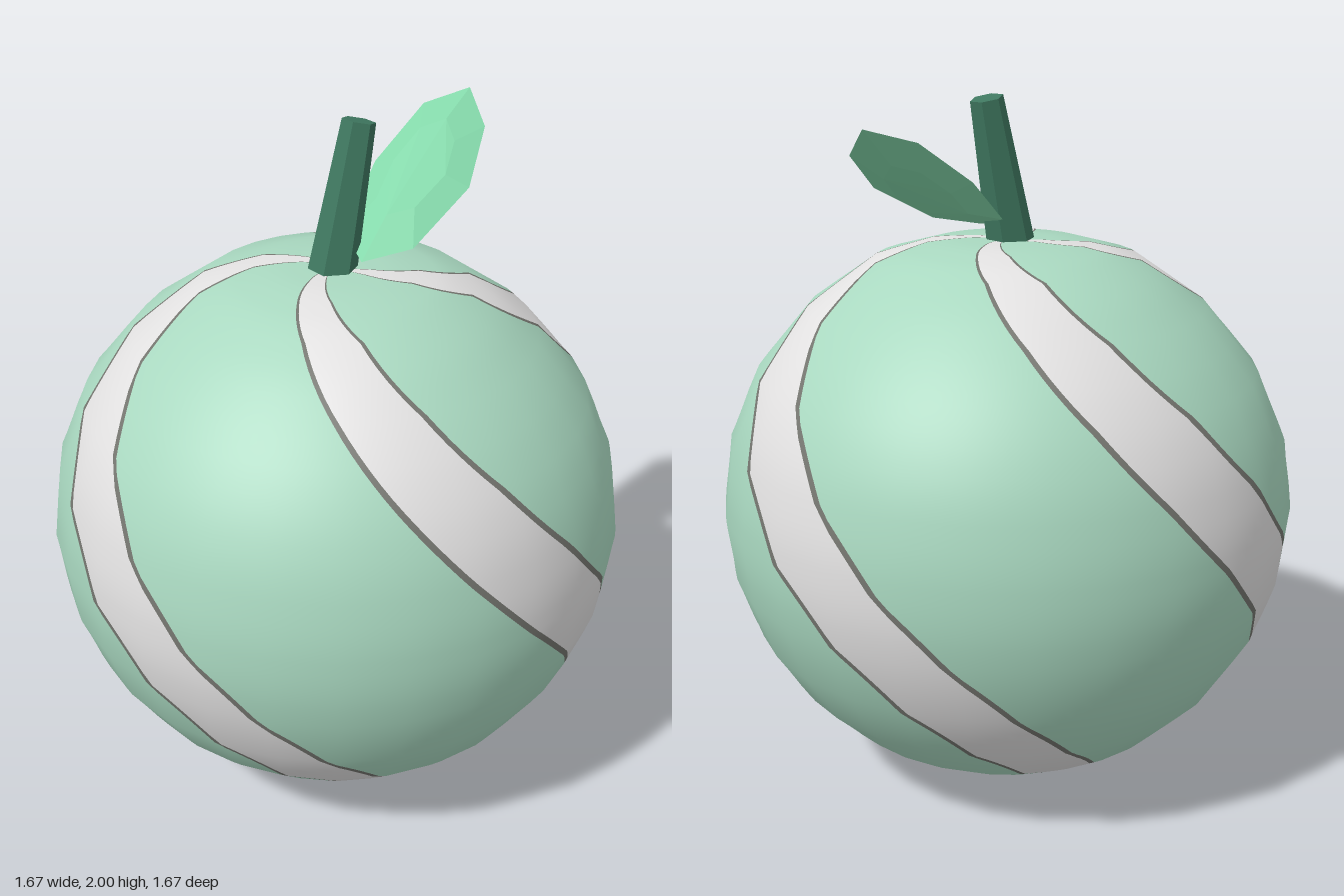
import * as THREE from 'three';
import { ConvexGeometry } from 'three/addons/geometries/ConvexGeometry.js';

const D = Math.PI / 180;
const SIDES = 28, RINGS = 14;

const material = (name, color, extra = {}) => {
  const m = new THREE.MeshStandardMaterial({ color, ...extra });
  m.name = name;
  return m;
};

// Fruit profile [angle from top, radius, height]: pinched top, round bottom
const TOP = [[0, 0, 1.6], [12, 0.09, 1.602], [25, 0.22, 1.595], [39, 0.387, 1.548], [51, 0.565, 1.425],
  [60, 0.68, 1.3], [68, 0.757, 1.19], [79, 0.818, 1.01], [90, 0.837, 0.84]];

function smoothProfile(t) {
  if (t >= 90) return [0.837 * Math.sin(t * D), 0.84 + 0.837 * Math.cos(t * D)];
  let i = 0;
  while (i < TOP.length - 2 && t > TOP[i + 1][0]) i++;
  const [a, b] = [TOP[i], TOP[i + 1]];
  const f = (t - a[0]) / (b[0] - a[0]);
  return [a[1] + (b[1] - a[1]) * f, a[2] + (b[2] - a[2]) * f];
}

// Profile with straight runs between the rings
function ringProfile(t) {
  const step = 180 / RINGS, i = Math.min(Math.floor(t / step + 1e-6), RINGS - 1), f = t / step - i;
  const a = smoothProfile(i * step), b = smoothProfile((i + 1) * step);
  return [a[0] + (b[0] - a[0]) * f, a[1] + (b[1] - a[1]) * f];
}

// Spiral strip from pole to pole; azimuth grows one degree per degree of descent
function spiralStrip(start, width, columns) {
  const rows = RINGS * 6, pos = [], nor = [], idx = [];
  for (let r = 0; r <= rows; r++) {
    const t = 180 * r / rows;
    const [rad, y] = ringProfile(t);
    const lo = smoothProfile(Math.max(t - 9, 0)), hi = smoothProfile(Math.min(t + 9, 180));
    const n = new THREE.Vector2(lo[1] - hi[1], hi[0] - lo[0]).normalize();
    if (r === 0) n.set(0, 1);
    if (r === rows) n.set(0, -1);
    for (let c = 0; c <= columns; c++) {
      const deg = start + width * c / columns + t - 90;
      const step = 360 / SIDES;
      const off = ((deg % step) + step) % step - step / 2;
      const k = rad * Math.cos(step / 2 * D) / Math.cos(off * D);
      const s = Math.sin(deg * D), q = Math.cos(deg * D);
      pos.push(k * s, y, k * q);
      nor.push(n.x * s, n.y, n.x * q);
      if (r < rows && c < columns) {
        const a = r * (columns + 1) + c, b = a + columns + 1;
        idx.push(a, b, a + 1, a + 1, b, b + 1);
      }
    }
  }
  const g = new THREE.BufferGeometry();
  g.setAttribute('position', new THREE.Float32BufferAttribute(pos, 3));
  g.setAttribute('normal', new THREE.Float32BufferAttribute(nor, 3));
  g.setIndex(idx);
  return g;
}

export function createModel() {
  const model = new THREE.Group();
  model.name = 'stripedFruit';
  const add = (name, geometry, mat, parent = model) => {
    const mesh = new THREE.Mesh(geometry, mat);
    mesh.name = name;
    parent.add(mesh);
    return mesh;
  };
  const mint = material('mint skin', 0xa9d8c0);
  const white = material('pale stripe', 0xe2e1e1);
  const grey = material('stripe outline', 0x74756f);
  const stemGreen = material('stem green', 0x3f7860, { flatShading: true });
  const leafGreen = material('leaf green', 0x84d8aa, { flatShading: true });

  // Body: four outlined stripes with skin between them
  const body = new THREE.Group();
  body.name = 'body';
  model.add(body);
  for (let i = 0; i < 4; i++) {
    const a = i * 90;
    add('stripe', spiralStrip(a + 0.8, 21.2, 8), white, body);
    add('stripeOutline', spiralStrip(a - 0.8, 1.6, 1), grey, body);
    add('stripeOutline', spiralStrip(a + 22, 1.6, 1), grey, body);
    add('skin', spiralStrip(a + 23.6, 65.6, 24), mint, body);
  }

  // Leaning six-sided stem
  const stem = add('stem', new THREE.CylinderGeometry(0.047, 0.07, 0.43, 6), stemGreen);
  stem.position.set(0.031, 1.785, 0);
  stem.rotation.z = -0.22;

  // Leaf: eight-cornered outline, bulging on both faces
  const rim = [[0.02, 1.635, 0.085], [0.15, 1.66, 0.148], [0.386, 1.77, 0.112], [0.556, 1.88, -0.01],
    [0.605, 1.957, -0.13], [0.48, 1.92, -0.19], [0.27, 1.8, -0.157], [0.07, 1.67, -0.055]]
    .map((p) => new THREE.Vector3(...p));
  const centre = rim.reduce((s, p) => s.add(p), new THREE.Vector3()).divideScalar(rim.length);
  const up = new THREE.Vector3(-0.4, 0.87, 0.27).normalize();
  const points = [...rim];
  for (const h of [0.028, -0.028]) {
    for (const p of rim) points.push(centre.clone().lerp(p, 0.55).addScaledVector(up, h));
  }
  add('leaf', new ConvexGeometry(points), leafGreen);

  return model;
}
